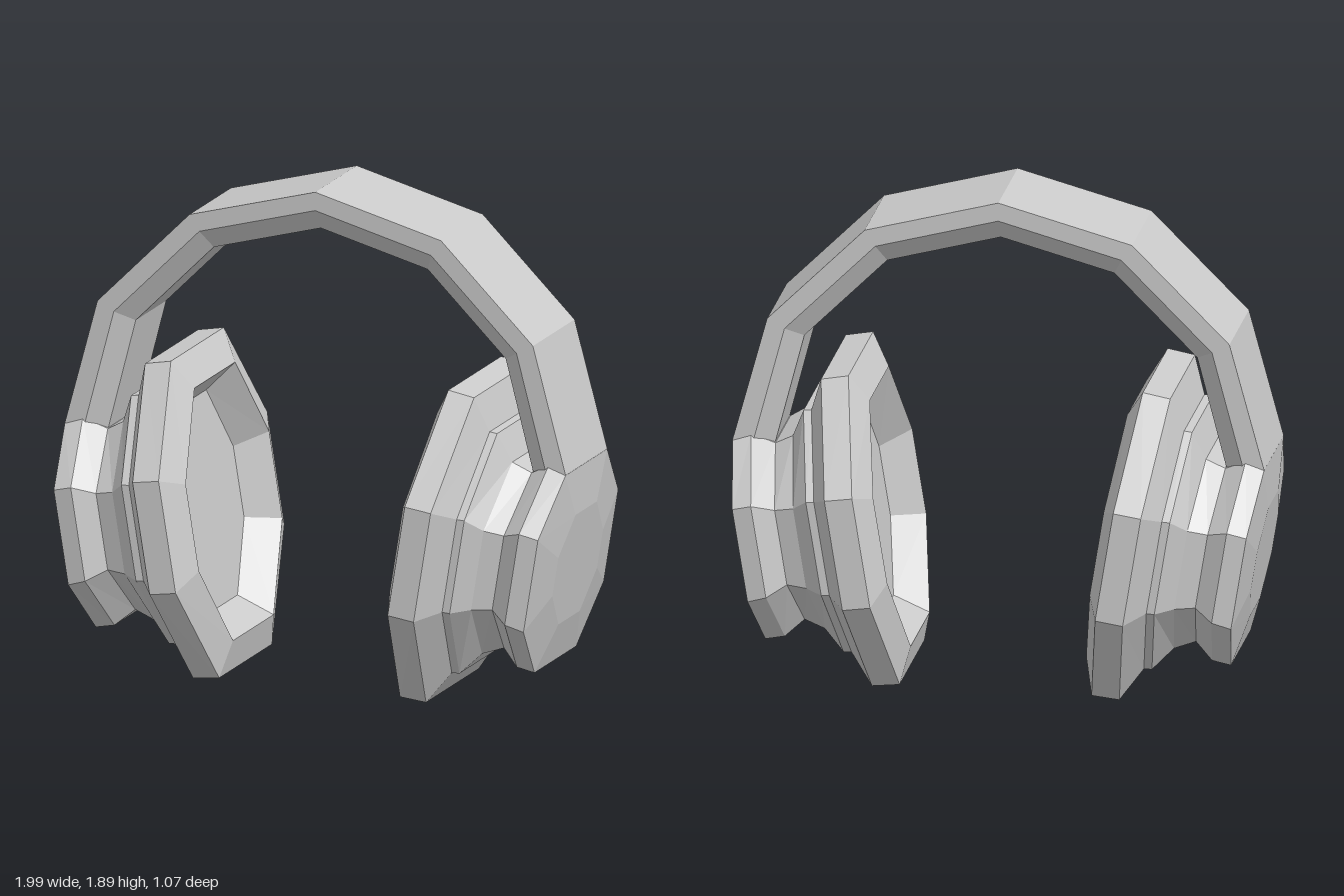
import * as THREE from 'three';

const material = new THREE.MeshStandardMaterial({ color: 0xcccccc, flatShading: true });

// Skin a list of equal-length point rings, optionally closing the ends.
function loft(name, rings, { flip = false, capStart = true, capEnd = true } = {}) {
  const pos = [];
  const tri = (a, b, c) => {
    for (const p of flip ? [a, c, b] : [a, b, c]) pos.push(p.x, p.y, p.z);
  };
  const n = rings[0].length;
  for (let i = 0; i < rings.length - 1; i++) {
    for (let j = 0; j < n; j++) {
      const k = (j + 1) % n;
      const [a, b] = [rings[i], rings[i + 1]];
      tri(a[j], b[j], b[k]);
      tri(a[j], b[k], a[k]);
    }
  }
  const first = rings[0], last = rings[rings.length - 1];
  for (let j = 1; j < n - 1; j++) {
    if (capStart) tri(first[0], first[j], first[j + 1]);
    if (capEnd) tri(last[0], last[j + 1], last[j]);
  }
  const geometry = new THREE.BufferGeometry();
  geometry.setAttribute('position', new THREE.Float32BufferAttribute(pos, 3));
  geometry.computeVertexNormals();
  const mesh = new THREE.Mesh(geometry, material);
  mesh.name = name;
  return mesh;
}

// Elongated octagon, tilted with the ear cup.
// cx, cy: centre; zt, ut: top corner; zs, us: side corner.
const TILT = 0.16;
function octagon(side, [cx, cy, zt, ut, zs, us]) {
  const corners = [[zs, us], [zt, ut], [-zt, ut], [-zs, us],
    [-zs, -us], [-zt, -ut], [zt, -ut], [zs, -us]];
  return corners.map(([z, u]) => new THREE.Vector3(
    side * (cx + u * Math.sin(TILT)), cy + u * Math.cos(TILT), z));
}

// Cushion: recessed floor, inner rim, thick padded edge, back step.
const cushionRings = [
  [0.52, 0.597, 0.165, 0.39, 0.33, 0.135],
  [0.405, 0.615, 0.20, 0.48, 0.41, 0.165],
  [0.455, 0.605, 0.26, 0.602, 0.535, 0.213],
  [0.558, 0.59, 0.26, 0.598, 0.535, 0.213],
  [0.622, 0.577, 0.215, 0.473, 0.425, 0.182],
];

// Shell: short collar, narrow waist, flared rim and shallow outer dome.
const shellRings = [
  cushionRings[4],
  [0.652, 0.575, 0.215, 0.471, 0.425, 0.182],
  [0.713, 0.556, 0.18, 0.376, 0.375, 0.155],
  [0.787, 0.549, 0.16, 0.344, 0.355, 0.145],
  [0.862, 0.543, 0.2, 0.395, 0.405, 0.178],
  [0.933, 0.522, 0.205, 0.387, 0.395, 0.18],
  [0.96, 0.517, 0.105, 0.215, 0.22, 0.075],
];

function earCup(name, side) {
  const cup = new THREE.Group();
  cup.name = name;
  const flip = side < 0;
  const rings = (list) => list.map((r) => octagon(side, r));
  cup.add(
    loft('cushion', rings(cushionRings), { flip, capEnd: false }),
    loft('shell', rings(shellRings), { flip, capStart: false }),
  );
  return cup;
}

// Headband: six-sided section with the inner edges chamfered.
function headband() {
  // outer x, y, middle x, y, inner x, y
  const half = [
    [0.995, 0.905, 0.92, 0.895, 0.845, 0.885],
    [0.865, 1.385, 0.80, 1.35, 0.735, 1.31],
    [0.5, 1.75, 0.46, 1.69, 0.425, 1.62],
  ];
  const mirrored = half.map((s) => s.map((v, i) => (i % 2 ? v : -v)));
  const stations = [...mirrored, [0, 1.885, 0, 1.815, 0, 1.735], ...half.reverse()];
  const W = 0.205, IN = 0.15;
  const P = (x, y, z) => new THREE.Vector3(x, y, z);
  return loft('headband', stations.map(([ox, oy, mx, my, ix, iy]) => [
    P(ox, oy, W), P(ox, oy, -W), P(mx, my, -W),
    P(ix, iy, -IN), P(ix, iy, IN), P(mx, my, W),
  ]));
}

export function createModel() {
  const model = new THREE.Group();
  model.name = 'headphones';
  model.add(headband(), earCup('leftEarCup', 1), earCup('rightEarCup', -1));
  return model;
}
